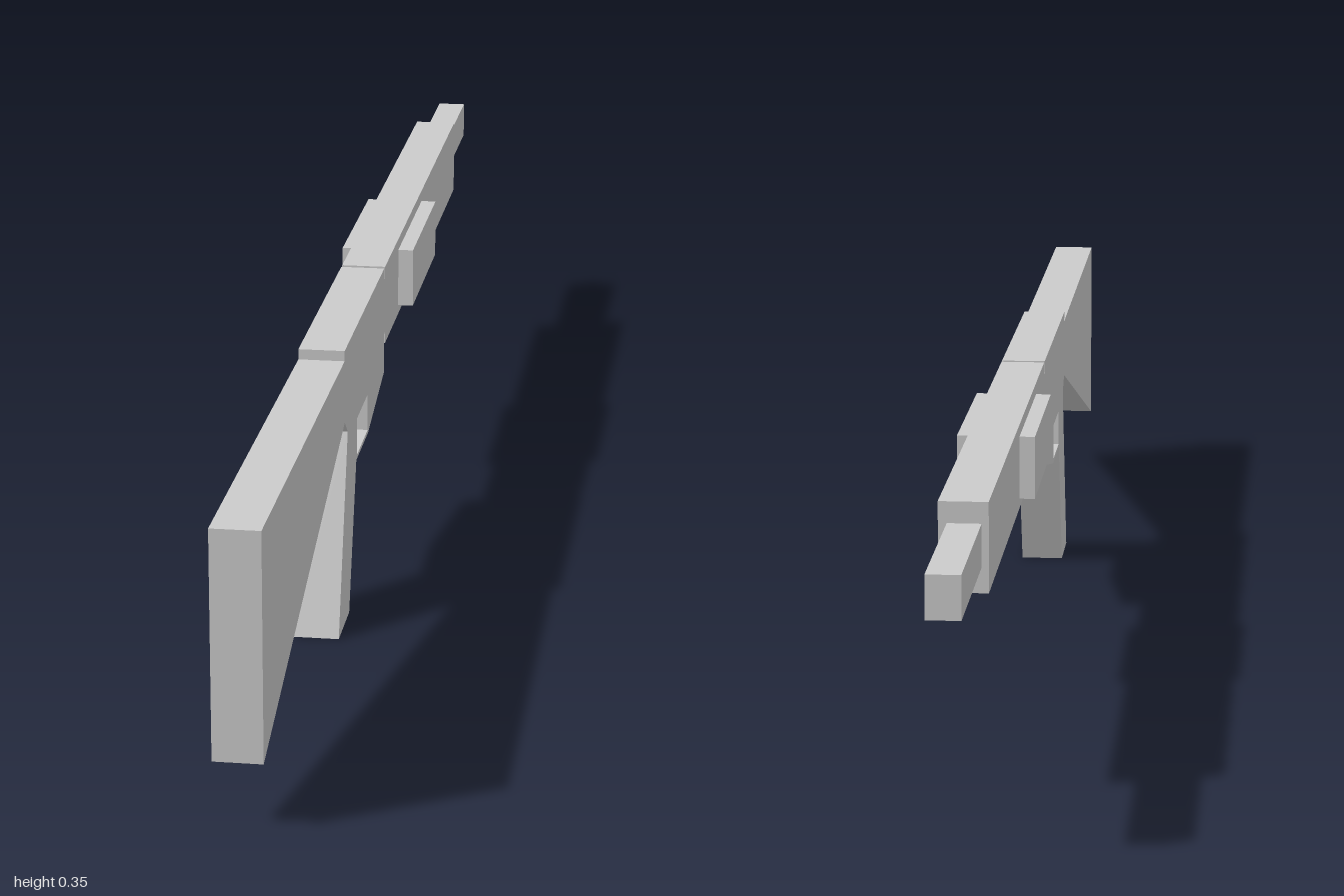
import * as THREE from 'three';

const material = new THREE.MeshStandardMaterial({ color: 0xcccccc, flatShading: true });
const X0 = -0.029, X1 = 0.028; // body sides
const SLOT = 0.014;            // wall thickness beside the underside slot

// Extrudes a side outline of [z, y] points from x = a to x = b.
function slab(name, outline, holes = [], a = X0, b = X1) {
  const toPoints = (list) => list.map(([z, y]) => new THREE.Vector2(z, y));
  const shape = new THREE.Shape(toPoints(outline));
  for (const hole of holes) shape.holes.push(new THREE.Path(toPoints(hole)));
  const geometry = new THREE.ExtrudeGeometry(shape, { depth: b - a, bevelEnabled: false });
  geometry.rotateY(-Math.PI / 2).translate(b, 0, 0);
  const mesh = new THREE.Mesh(geometry, material);
  mesh.name = name;
  return mesh;
}

// Box given by its limits on each axis.
function block(name, [xa, xb], [ya, yb], [za, zb]) {
  const mesh = new THREE.Mesh(new THREE.BoxGeometry(xb - xa, yb - ya, zb - za), material);
  mesh.position.set((xa + xb) / 2, (ya + yb) / 2, (za + zb) / 2);
  mesh.name = name;
  return mesh;
}

export function createModel() {
  const model = new THREE.Group();
  model.name = 'longGun';

  // Wedge stock, tapering towards the receiver
  model.add(slab('stock', [[1, 0.348], [1, 0.08], [0.39, 0.263], [0.39, 0.342]]));

  // Receiver: two cheeks around a core that has a slot in its sloped underside
  const receiver = new THREE.Group();
  receiver.name = 'receiver';
  const top = [[0.028, 0.355], [0.39, 0.355], [0.39, 0.263], [0.365, 0.243], [0.29, 0.18], [0.183, 0.18]];
  const front = [0.028, 0.213];
  const slope = (z) => 0.18 + (0.183 - z) * 0.213;
  const slot = [[0.172, slope(0.172)], [0.172, 0.25], [0.06, 0.25], [0.06, slope(0.06)]];
  const triggerHole = [[0.283, 0.185], [0.283, 0.233], [0.187, 0.233], [0.187, 0.185]];
  receiver.add(
    slab('rightCheek', [...top, front], [triggerHole], X0, X0 + SLOT),
    slab('core', [...top, ...slot, front], [triggerHole], X0 + SLOT, X1 - SLOT),
    slab('leftCheek', [...top, front], [triggerHole], X1 - SLOT, X1),
  );
  model.add(receiver);

  // Raked pistol grip
  model.add(slab('grip', [[0.365, 0.243], [0.445, 0], [0.355, 0], [0.29, 0.18]]));

  // Narrow neck leaves a groove between receiver and fore-end
  model.add(block('neck', [X0, X1], [0.265, 0.34], [0.018, 0.03]));
  model.add(block('foreEnd', [X0, X1], [0.25, 0.355], [-0.775, 0.02]));
  model.add(block('barrel', [-0.021, 0.018], [0.28, 0.33], [-1, -0.77]));

  // Raised side panels
  model.add(block('leftPanel', [X1 - 0.005, 0.048], [0.262, 0.34], [-0.37, -0.115]));
  model.add(block('rightPanel', [-0.048, X0 + 0.005], [0.262, 0.34], [-0.37, -0.115]));
  return model;
}
